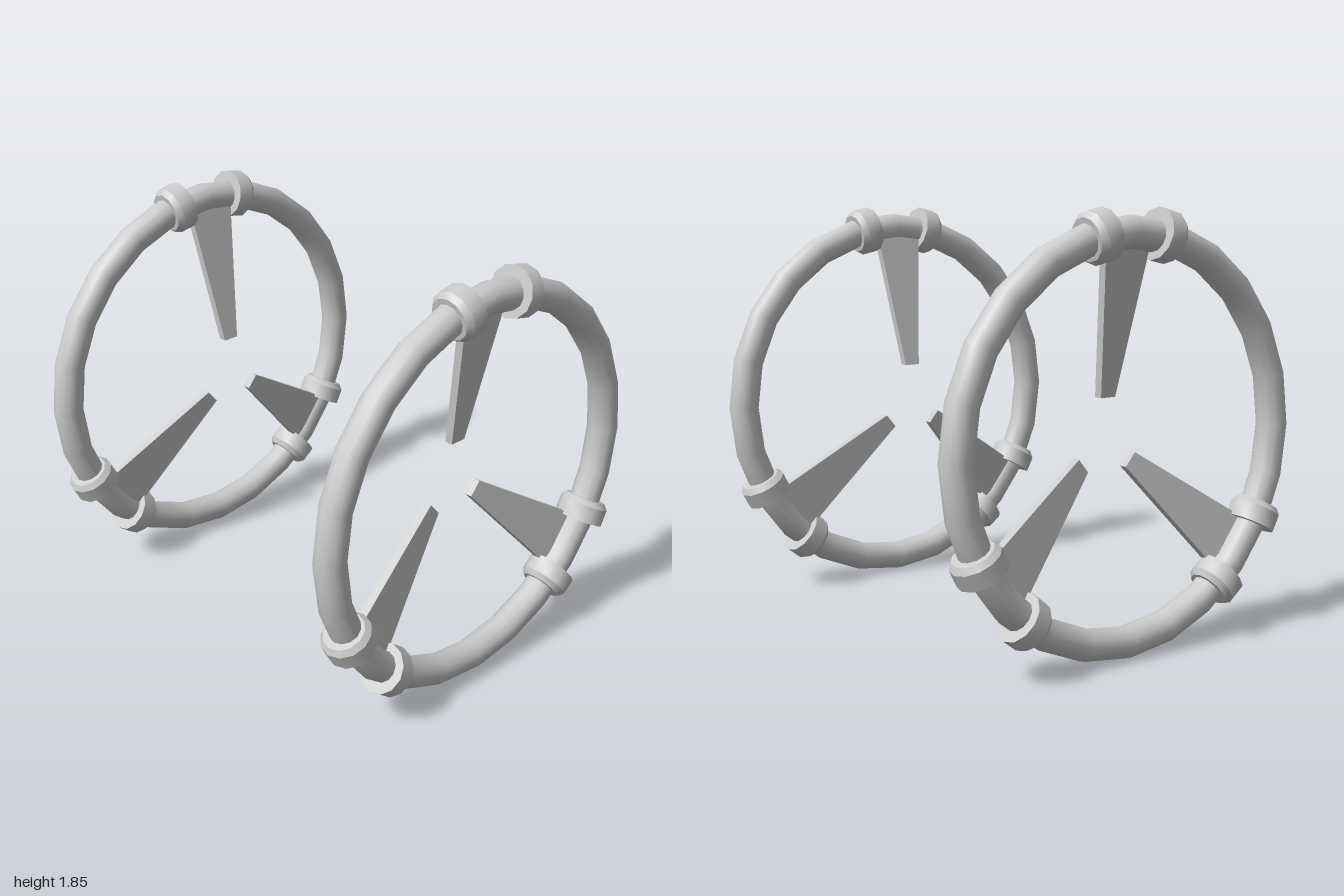
import * as THREE from 'three';
import { toCreasedNormals } from 'three/addons/utils/BufferGeometryUtils.js';

const R = 0.843, TUBE = 0.068, CY = 0.914, RING_Z = 0.889;
const rad = THREE.MathUtils.degToRad;
const material = new THREE.MeshStandardMaterial({ color: 0xcccccc });

function mesh(name, geometry) {
  const m = new THREE.Mesh(geometry, material);
  m.name = name;
  return m;
}

// Collar around the tube; the bevel is at the +y end
function collarGeometry() {
  const profile = [
    [0.06, -0.05], [0.11, -0.05], [0.11, 0.025], [0.09, 0.05], [0.06, 0.05],
  ].map(([x, y]) => new THREE.Vector2(x, y));
  return toCreasedNormals(new THREE.LatheGeometry(profile, 12), rad(35));
}

// Tapered blade along +y, leaning inwards (towards -z) at its tip
function bladeGeometry(rootHalf) {
  const tipR = 0.166, rootR = R, tipHalf = 0.038;
  const g = new THREE.BoxGeometry(1, 1, 0.038);
  const p = g.attributes.position;
  for (let i = 0; i < p.count; i++) {
    const t = p.getY(i) + 0.5;
    p.setX(i, p.getX(i) * 2 * THREE.MathUtils.lerp(tipHalf, rootHalf, t));
    p.setY(i, THREE.MathUtils.lerp(tipR, rootR, t));
    p.setZ(i, p.getZ(i) + THREE.MathUtils.lerp(-0.143, -0.02, t));
  }
  const flat = g.toNonIndexed();
  flat.computeVertexNormals();
  return flat;
}

// One ring with three blades, each held between two collars
function hoop(name) {
  const group = new THREE.Group();
  group.name = name;
  group.add(mesh('ring', new THREE.TorusGeometry(R, TUBE, 12, 24)));
  const collar = collarGeometry();
  for (const [turn, rootHalf] of [[0, 0.123], [130, 0.138], [-130, 0.138]]) {
    const mount = new THREE.Group();
    mount.name = 'bladeMount';
    mount.rotation.z = rad(turn);
    mount.add(mesh('blade', bladeGeometry(rootHalf)));
    for (const side of [-1, 1]) {
      const a = rad(12.2) * side;
      const c = mesh('collar', collar);
      c.position.set(Math.sin(a) * R, Math.cos(a) * R, 0);
      c.rotation.z = -a - side * Math.PI / 2;
      mount.add(c);
    }
    group.add(mount);
  }
  return group;
}

export function createModel() {
  const model = new THREE.Group();
  model.name = 'twinHoops';
  const front = hoop('frontHoop');
  front.position.set(0, CY, RING_Z);
  const back = hoop('backHoop');
  back.position.set(0, CY, -RING_Z);
  back.rotation.y = Math.PI;
  model.add(front, back);
  return model;
}
